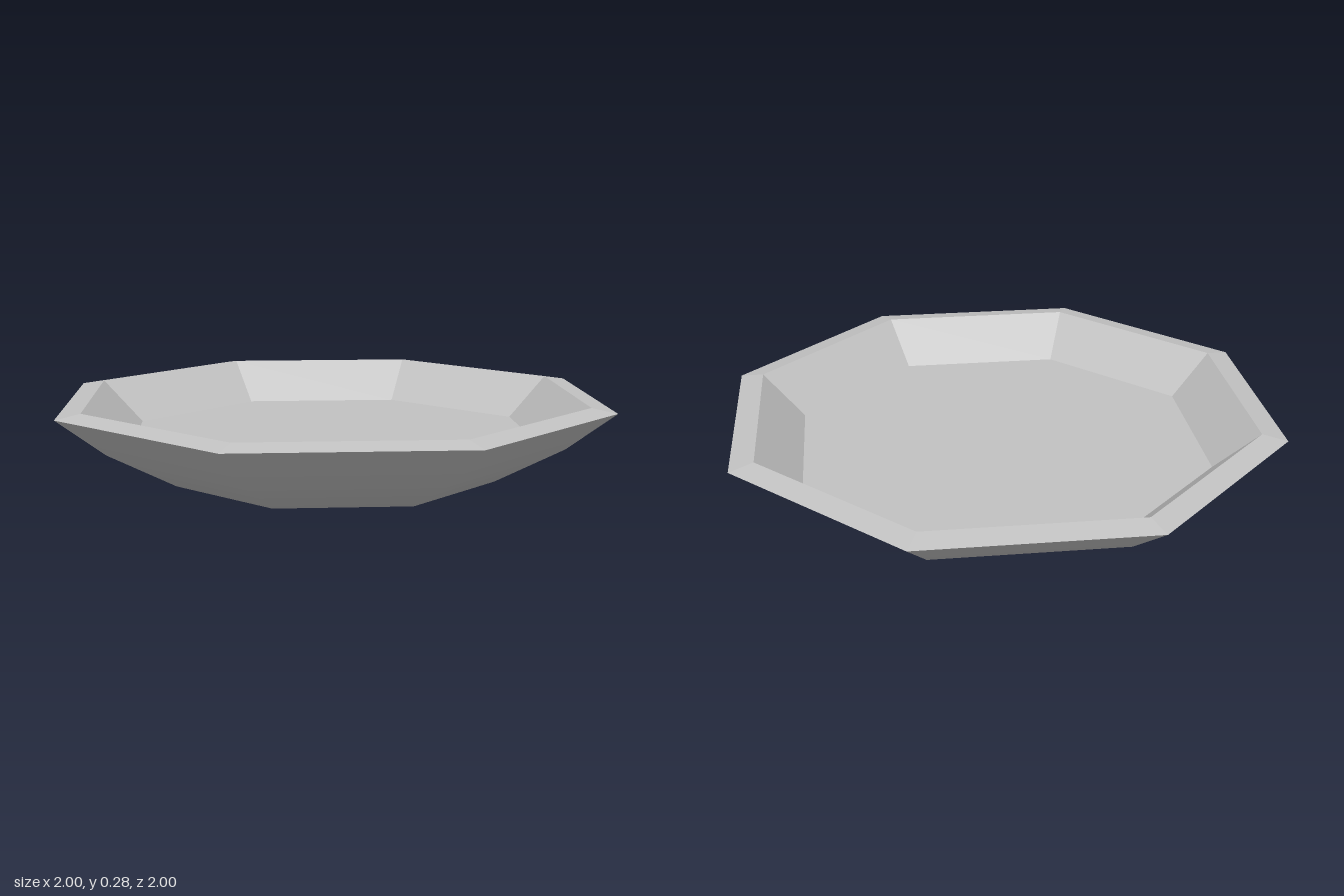
import * as THREE from 'three';

const SIDES = 8;

export function createModel() {
  const group = new THREE.Group();
  group.name = 'plate';
  const grey = new THREE.MeshStandardMaterial({ color: 0xc2c2c2 });
  grey.name = 'light grey';

  // Turns a profile of [radius, height] points into an eight-sided part
  function addTurned(name, profile, flat) {
    let geometry = new THREE.LatheGeometry(profile.map(([r, y]) => new THREE.Vector2(r, y)), SIDES);
    if (flat) {
      geometry = geometry.toNonIndexed();
      geometry.computeVertexNormals();
    }
    const mesh = new THREE.Mesh(geometry, grey);
    mesh.name = name;
    group.add(mesh);
  }

  // Smooth underside, from the centre of the base out to the rim
  addTurned('underside', [[0, 0], [0.59, 0], [0.83, 0.13], [1, 0.262]], false);
  // Crisp upper surfaces
  addTurned('rim', [[1, 0.262], [0.912, 0.277]], true);
  addTurned('innerWall', [[0.912, 0.277], [0.755, 0.13]], true);

  // Flat floor of the dish
  const floor = new THREE.Mesh(new THREE.CircleGeometry(0.755, SIDES), grey);
  floor.name = 'floor';
  floor.rotation.x = -Math.PI / 2;
  floor.position.y = 0.13;
  group.add(floor);

  return group;
}
